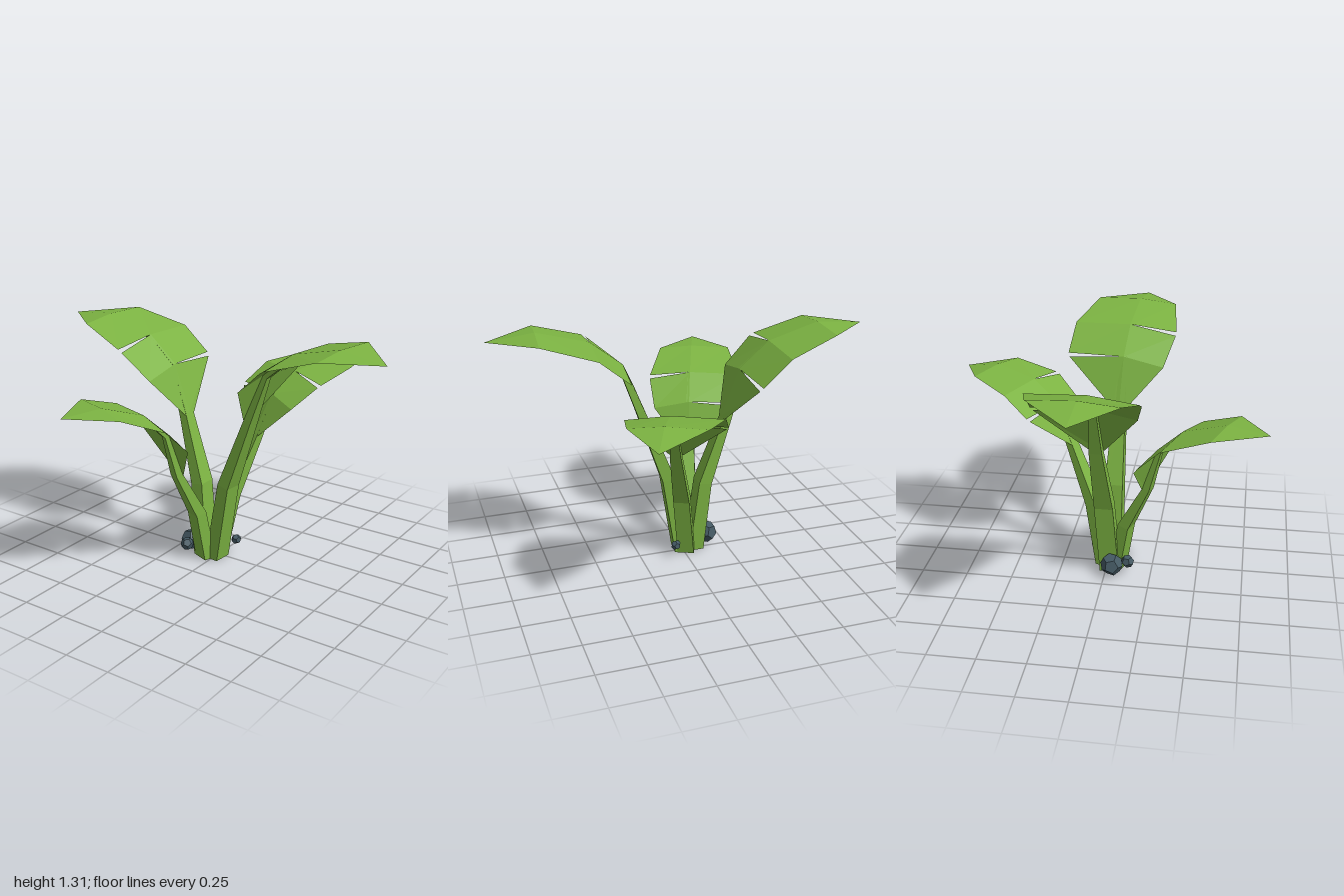
import * as THREE from 'three';

const green = new THREE.MeshStandardMaterial({ color: 0x7cb342, flatShading: true, side: THREE.DoubleSide });
const slate = new THREE.MeshStandardMaterial({ color: 0x455a64, flatShading: true });

// Blade rows from leaf base to tip: distance out, rise, and the width and droop
// of the broad and the narrow half
const rows = [
  { out: 0, rise: 0, broad: 0.04, narrow: 0.04, broadDrop: 0.01, narrowDrop: 0.01 },
  { out: 0.1, rise: 0.25, broad: 0.315, narrow: 0.22, broadDrop: 0.015, narrowDrop: 0.045 },
  { out: 0.265, rise: 0.385, broad: 0.31, narrow: 0.26, broadDrop: 0.01, narrowDrop: 0.035 },
  { out: 0.54, rise: 0.46, broad: 0.24, narrow: 0.205, broadDrop: 0.01, narrowDrop: 0.02 },
  { out: 0.79, rise: 0.43, broad: 0, narrow: 0, broadDrop: 0, narrowDrop: 0 },
];

// broadSide is -1 or +1: the side on which the broad half lies
const fronds = [
  { name: 'leftFrond', base: [0.205, 0.86, 0.03], yaw: -0.09, pitch: -0.02, scale: 1, broadSide: -1 },
  { name: 'rightFrond', base: [-0.21, 0.79, -0.03], yaw: Math.PI - 0.01, pitch: 0.02, scale: 1.01, broadSide: 1 },
  { name: 'backFrond', base: [0.1, 0.68, -0.2], yaw: 1.153, pitch: -0.1, scale: 0.87, broadSide: -1 },
  { name: 'frontFrond', base: [-0.105, 0.54, 0.21], yaw: -1.928, pitch: 0.07, scale: 0.89, broadSide: 1 },
];

const midrib = rows.map((r) => new THREE.Vector3(r.out, r.rise, 0));

function meshFromQuads(name, quads) {
  const pos = [];
  for (const [a, b, c, d] of quads) for (const p of [a, b, c, a, c, d]) pos.push(p.x, p.y, p.z);
  const geometry = new THREE.BufferGeometry();
  geometry.setAttribute('position', new THREE.Float32BufferAttribute(pos, 3));
  geometry.computeVertexNormals();
  const mesh = new THREE.Mesh(geometry, green);
  mesh.name = name;
  return mesh;
}

// Folded blade: the broad half is torn at row 1, the narrow half at row 2
function blade(broadSide) {
  const quads = [];
  for (const [half, sign, tear] of [['broad', broadSide, 1], ['narrow', -broadSide, 2]]) {
    const edge = rows.map((r) => new THREE.Vector3(r.out, r.rise - r[`${half}Drop`], sign * r[half]));
    const edgePoint = (i, toward) => (i === tear
      ? edge[i].clone().add(edge[toward].clone().sub(edge[i]).setLength(0.014)) : edge[i]);
    for (let i = 0; i < 4; i++) {
      const quad = [midrib[i], edgePoint(i, i + 1), edgePoint(i + 1, i), midrib[i + 1]];
      quads.push(sign < 0 ? quad.reverse() : quad);
    }
  }
  return meshFromQuads('leafBlade', quads);
}

// Four-sided stalk that thins into the rib under the blade
function stalk(foot, bend, up) {
  const path = [foot, bend, ...midrib.slice(0, 4)];
  const halfWidth = [0.052, 0.05, 0.034, 0.018, 0.012, 0.003];
  const halfDepth = [0.04, 0.035, 0.022, 0.014, 0.01, 0.003];
  const side = new THREE.Vector3(0, 0, 1);
  const rings = path.map((p, i) => {
    const along = i === 0 ? up : path[Math.min(i + 1, 5)].clone().sub(path[i - 1]);
    const n = side.clone().cross(along).normalize();
    const centre = i < 2 ? p : p.clone().addScaledVector(n, -halfDepth[i] - 0.002);
    return [[1, 1], [-1, 1], [-1, -1], [1, -1]].map(([a, b]) => centre.clone()
      .addScaledVector(n, a * halfDepth[i]).addScaledVector(side, b * halfWidth[i]));
  });
  const quads = [[...rings[0]].reverse(), rings[5]];
  for (let r = 0; r < 5; r++) {
    for (let k = 0; k < 4; k++) {
      const j = (k + 1) % 4;
      quads.push([rings[r][k], rings[r][j], rings[r + 1][j], rings[r + 1][k]]);
    }
  }
  return meshFromQuads('stalk', quads);
}

function buildFrond({ name, base, yaw, pitch, scale, broadSide }) {
  const frond = new THREE.Group();
  frond.name = name;
  frond.position.set(...base);
  frond.rotation.set(0, yaw, pitch);
  frond.scale.setScalar(scale);
  frond.updateMatrixWorld();

  // All stalks spring from one clump and bow inward halfway up
  const outward = new THREE.Vector3(Math.cos(yaw), 0, -Math.sin(yaw));
  const foot = new THREE.Vector3(-0.033, 0, 0.022).addScaledVector(outward, 0.04);
  const bend = foot.clone().lerp(frond.position, 0.52).addScaledVector(outward, -0.03);
  const up = new THREE.Vector3(Math.sin(pitch), Math.cos(pitch), 0);
  frond.add(stalk(frond.worldToLocal(foot), frond.worldToLocal(bend), up), blade(broadSide));
  return frond;
}

export function createModel() {
  const model = new THREE.Group();
  model.name = 'leafyPlant';
  for (const f of fronds) model.add(buildFrond(f));

  // Small stones around the foot: x, y, z, radius
  [[-0.15, 0.068, 0.04, 0.062], [-0.125, 0.08, 0.125, 0.036], [0.065, 0.077, -0.08, 0.028]]
    .forEach(([x, y, z, r], i) => {
      const stone = new THREE.Mesh(new THREE.DodecahedronGeometry(r), slate);
      stone.name = 'stone';
      stone.position.set(x, y, z);
      stone.rotation.set(0.4 + i, 0.7 * i, 0.3);
      model.add(stone);
    });

  return model;
}
